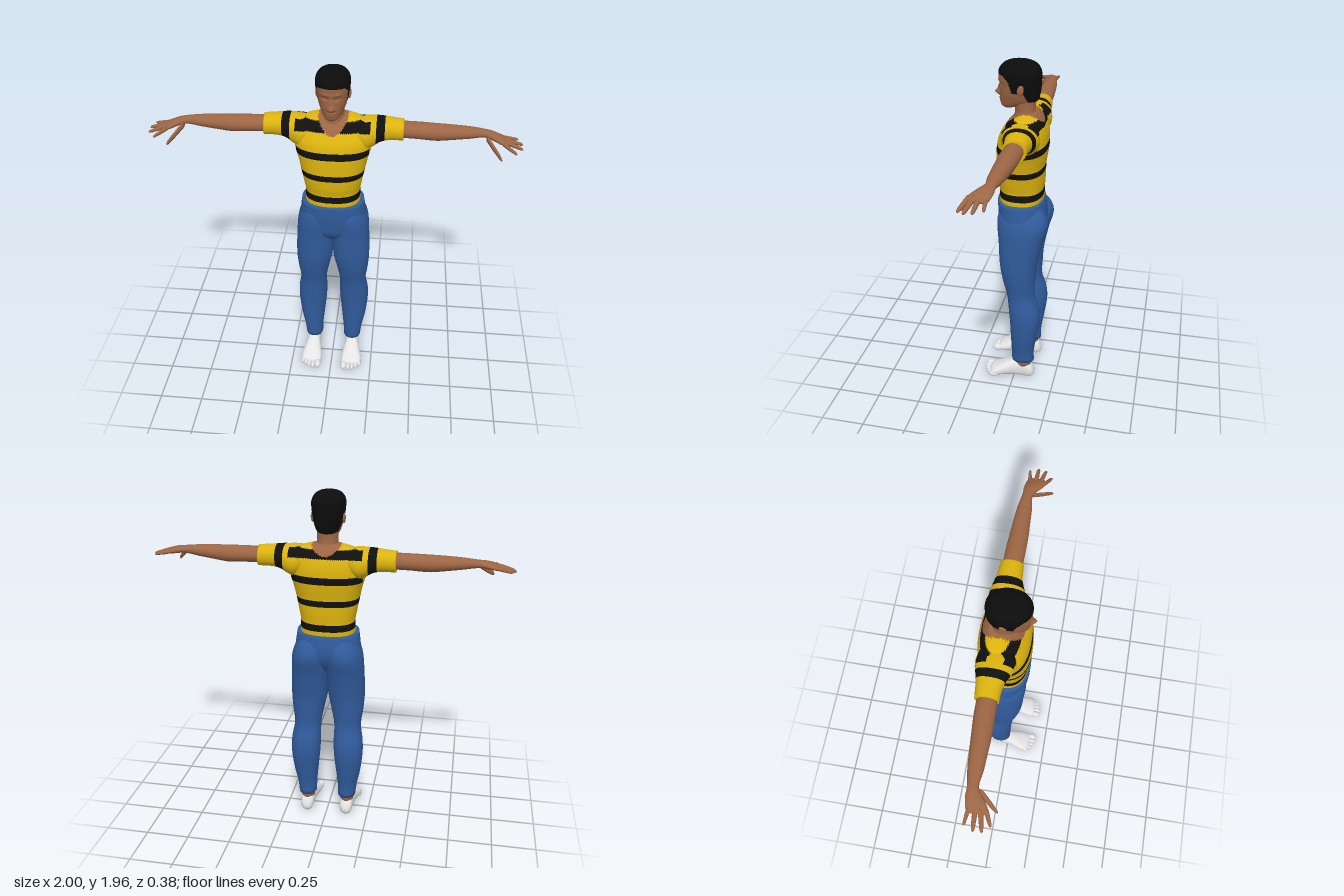
import * as THREE from 'three';

const mat = (name, color) => Object.assign(new THREE.MeshStandardMaterial({ color }), { name });

// Smooth interpolation of section rows [t, uMin, uMax, vMin, vMax]
function sectionAt(rows, t) {
  const n = rows.length;
  let i = 0;
  while (i < n - 2 && t > rows[i + 1][0]) i++;
  const a = rows[i], b = rows[i + 1], h = b[0] - a[0], s = (t - a[0]) / h;
  const slope = (k, c) => {
    const p = rows[Math.max(k - 1, 0)], q = rows[Math.min(k + 1, n - 1)];
    return (q[c] - p[c]) / (q[0] - p[0]);
  };
  return [1, 2, 3, 4].map((c) =>
    a[c] * (1 + 2 * s) * (1 - s) ** 2 + b[c] * s * s * (3 - 2 * s) +
    h * (slope(i, c) * s * (1 - s) ** 2 - slope(i + 1, c) * s * s * (1 - s)));
}

// Axis mappings from (t, u, v)
const alongY = (t, u, v) => [u, t, v];
const alongX = (t, u, v) => [t, v, u];
const alongZ = (t, u, v) => [v, u, t];

// Closed loft through rounded cross-sections; paint(x, y, z) picks a material index
function loft(rows, map, { n = 40, step = 0.02, power = 2, deform, paint } = {}) {
  const t0 = rows[0][0], t1 = rows[rows.length - 1][0];
  const count = Math.max(2, Math.round((t1 - t0) / step));
  const pos = [], faces = [];
  const push = (p) => pos.push(...(deform ? deform(...p) : p));
  const mid = [];
  for (let i = 0; i <= count; i++) {
    const t = t0 + ((t1 - t0) * i) / count;
    const [u0, u1, v0, v1] = sectionAt(rows, t);
    const cu = (u0 + u1) / 2, cv = (v0 + v1) / 2;
    if (i === 0 || i === count) mid.push(map(t, cu, cv));
    for (let j = 0; j < n; j++) {
      const a = (j / n) * Math.PI * 2, c = Math.cos(a), s = Math.sin(a);
      const f = (w) => Math.sign(w) * Math.abs(w) ** (2 / power);
      push(map(t, cu + f(c) * (u1 - u0) / 2, cv + f(s) * (v1 - v0) / 2));
    }
  }
  const low = pos.length / 3, high = low + 1;
  mid.forEach((p) => pos.push(...p));
  for (let j = 0; j < n; j++) {
    const k = (j + 1) % n, top = count * n;
    for (let i = 0; i < count; i++) {
      const a = i * n + j, b = i * n + k;
      faces.push([a, a + n, b], [b, a + n, b + n]);
    }
    faces.push([low, j, k], [high, top + k, top + j]);
  }
  const geo = new THREE.BufferGeometry();
  geo.setAttribute('position', new THREE.Float32BufferAttribute(pos, 3));
  const buckets = [];
  for (const f of faces) {
    const c = [0, 1, 2].map((d) => (pos[f[0] * 3 + d] + pos[f[1] * 3 + d] + pos[f[2] * 3 + d]) / 3);
    const m = paint ? paint(...c) : 0;
    (buckets[m] ??= []).push(...f);
  }
  let start = 0;
  buckets.forEach((b, m) => { geo.addGroup(start, b.length, m); start += b.length; });
  geo.setIndex(buckets.flat());
  geo.computeVertexNormals();
  return geo;
}

// Mirror across x with the winding kept outward
function mirrored(geo) {
  const g = geo.clone().scale(-1, 1, 1), ix = g.index;
  for (let i = 0; i < ix.count; i += 3) {
    const a = ix.getX(i);
    ix.setX(i, ix.getX(i + 1));
    ix.setX(i + 1, a);
  }
  g.computeVertexNormals();
  return g;
}

// Tapered finger from base to tip, both [x, y, z]
function finger(base, tip, r) {
  const rows = [[0, 1], [0.35, 1], [0.7, 0.85], [0.92, 0.65], [1, 0.15]].map(([k, s]) => {
    const [x, y, z] = base.map((b, d) => b + (tip[d] - b) * k);
    return [x, z - r * s, z + r * s, y - r * s, y + r * s];
  });
  return loft(rows, alongX, { n: 14, step: 0.006 });
}

const bump = (x, y, cx, cy, wx, wy) => Math.exp(-(((x - cx) / wx) ** 2) - ((y - cy) / wy) ** 2);

// Height of the hairline at depth z
function hairline(z) {
  const pts = [[-0.13, 1.742], [-0.06, 1.755], [-0.04, 1.8], [0.022, 1.8], [0.04, 1.86], [0.07, 1.89], [0.2, 1.9]];
  for (let i = 1; i < pts.length; i++) {
    const [z0, y0] = pts[i - 1], [z1, y1] = pts[i];
    if (z <= z1) return y0 + (y1 - y0) * (z - z0) / (z1 - z0);
  }
  return 1.9;
}

export function createModel() {
  const root = new THREE.Group();
  const skin = mat('skin', 0x9c6644), hair = mat('black hair', 0x0c0c0c), black = mat('black stripe', 0x101010);
  const yellow = mat('yellow cloth', 0xdcb40e), blue = mat('blue denim', 0x305b9c), white = mat('white sock', 0xe4e4e4);

  const add = (name, geo, material) => {
    const m = new THREE.Mesh(geo, material);
    m.name = name;
    root.add(m);
  };
  const pair = (name, geo, material) => {
    add('left ' + name, geo, material);
    add('right ' + name, mirrored(geo), material);
  };

  // Shirt body with stripes and a scooped neckline
  const shirtMats = [yellow, black, skin];
  const shoulderStripe = (x, y) => Math.abs(x) < 0.2 && y > 1.622 && y < 1.667;
  const shirtPaint = (x, y, z) => {
    const ax = Math.abs(x);
    if (y > (z > -0.05 ? 1.61 + 11 * x * x : 1.635 + 8 * x * x)) return ax < 0.08 ? 2 : shoulderStripe(x, y) ? 1 : 0;
    if ((y > 1.21 && y < 1.25) || (y > 1.355 && y < 1.39)) return 1;
    if (y > 1.485 && y < 1.525 && ax < 0.197) return 1;
    return shoulderStripe(x, y) ? 1 : 0;
  };
  const torso = [
    [1.17, 0.155, -0.143, 0.1], [1.25, 0.152, -0.145, 0.1], [1.3, 0.16, -0.148, 0.109], [1.38, 0.175, -0.15, 0.114],
    [1.45, 0.19, -0.16, 0.113], [1.5, 0.204, -0.165, 0.11], [1.56, 0.21, -0.163, 0.098], [1.6, 0.206, -0.155, 0.076],
    [1.64, 0.19, -0.14, 0.045], [1.67, 0.15, -0.12, 0.01], [1.69, 0.08, -0.1, -0.015],
  ].map(([y, x, b, f]) => [y, -x, x, b, f]);
  add('shirt body', loft(torso, alongY, { n: 120, step: 0.005, power: 2.4, paint: shirtPaint }), shirtMats);

  // Sleeves with a band
  pair('sleeve', loft([
    [0.1, -0.13, 0.03, 1.56, 1.66], [0.17, -0.15, 0.06, 1.505, 1.672], [0.21, -0.146, 0.045, 1.515, 1.673],
    [0.25, -0.135, 0.025, 1.54, 1.673], [0.3, -0.125, 0.01, 1.55, 1.669], [0.375, -0.118, 0.004, 1.55, 1.662],
  ], alongX, {
    n: 64, step: 0.005, power: 2.2,
    paint: (x, y) => ((x > 0.23 && x < 0.275) || shoulderStripe(x, y) ? 1 : 0),
  }), shirtMats);

  // Arms and hands
  pair('arm', loft([
    [0.34, -0.106, -0.004, 1.565, 1.653], [0.45, -0.106, 0, 1.563, 1.652], [0.55, -0.1, 0, 1.558, 1.65],
    [0.62, -0.095, -0.003, 1.566, 1.648], [0.72, -0.086, -0.008, 1.58, 1.643], [0.8, -0.072, -0.016, 1.592, 1.635],
    [0.84, -0.073, 0.01, 1.588, 1.628], [0.88, -0.068, 0.038, 1.58, 1.615], [0.91, -0.06, 0.042, 1.577, 1.603],
    [0.92, -0.045, 0.03, 1.582, 1.596],
  ], alongX), skin);
  [
    ['index finger', [0.89, 1.595, 0.032], [0.965, 1.555, 0.066], 0.012],
    ['middle finger', [0.895, 1.597, 0.008], [0.998, 1.565, 0.03], 0.012],
    ['ring finger', [0.895, 1.596, -0.016], [1, 1.572, -0.012], 0.012],
    ['little finger', [0.885, 1.595, -0.046], [0.98, 1.578, -0.058], 0.01],
    ['thumb', [0.81, 1.6, -0.012], [0.89, 1.525, 0.084], 0.018],
  ].forEach(([name, base, tip, r]) => pair(name, finger(base, tip, r), skin));

  // Neck
  add('neck', loft([
    [1.58, -0.07, 0.07, -0.12, 0.03], [1.64, -0.066, 0.066, -0.112, 0.03],
    [1.69, -0.058, 0.058, -0.094, 0.018], [1.77, -0.058, 0.058, -0.092, 0.03],
  ], alongY), skin);

  // Head with sculpted face and painted hair
  const skull = [
    [1.705, 0.022, 0.03, 0.08], [1.72, 0.042, -0.02, 0.094], [1.745, 0.06, -0.097, 0.097], [1.78, 0.073, -0.115, 0.099],
    [1.82, 0.081, -0.121, 0.1], [1.87, 0.088, -0.123, 0.105], [1.91, 0.088, -0.12, 0.104], [1.94, 0.073, -0.1, 0.083],
    [1.957, 0.047, -0.065, 0.048], [1.965, 0.008, -0.02, 0],
  ].map(([y, x, b, f]) => [y, -x, x, b, f]);
  const face = (x, y, z) => {
    if (z > 0.02) {
      const ax = Math.abs(x);
      z += 0.026 * bump(x, y, 0, 1.785, 0.014, 0.014) + 0.012 * bump(x, y, 0, 1.81, 0.01, 0.022);
      z += 0.008 * bump(ax, y, 0.014, 1.78, 0.008, 0.008);
      z += 0.007 * bump(x, y, 0, 1.755, 0.022, 0.006) + 0.006 * bump(x, y, 0, 1.742, 0.02, 0.006);
      z += 0.005 * bump(ax, y, 0.032, 1.858, 0.025, 0.009) - 0.01 * bump(ax, y, 0.033, 1.836, 0.018, 0.01);
    }
    if (y > hairline(z)) x *= 1.025;
    return [x, y, z];
  };
  add('head', loft(skull, alongY, {
    n: 96, step: 0.004, power: 2.15, deform: face, paint: (x, y, z) => (y > hairline(z) ? 1 : 0),
  }), [skin, hair]);
  pair('ear', new THREE.SphereGeometry(1, 16, 12).scale(0.01, 0.03, 0.018).rotateX(-0.2).translate(0.084, 1.822, -0.026), skin);
  pair('eyelid', new THREE.SphereGeometry(1, 16, 10).scale(0.014, 0.007, 0.008).translate(0.032, 1.835, 0.079), skin);

  // Trousers: hips and legs
  add('trouser hips', loft([
    [0.93, -0.05, 0.05, -0.07, 0.045], [0.98, -0.15, 0.15, -0.12, 0.086], [1.04, -0.188, 0.188, -0.155, 0.1],
    [1.1, -0.185, 0.185, -0.163, 0.108], [1.185, -0.174, 0.174, -0.148, 0.11],
  ], alongY, { n: 64, power: 2.3 }), blue);
  pair('trouser leg', loft([
    [0.13, 0.068, 0.172, -0.12, 0.013], [0.2, 0.065, 0.18, -0.12, 0.015], [0.3, 0.055, 0.2, -0.136, 0.018],
    [0.42, 0.043, 0.213, -0.152, 0.023], [0.5, 0.04, 0.211, -0.147, 0.03], [0.6, 0.04, 0.197, -0.12, 0.042],
    [0.7, 0.022, 0.208, -0.122, 0.066], [0.8, 0.002, 0.214, -0.13, 0.084], [0.95, -0.006, 0.209, -0.16, 0.092],
    [1.05, -0.008, 0.2, -0.186, 0.1], [1.11, 0, 0.18, -0.172, 0.095], [1.16, 0.03, 0.15, -0.13, 0.07],
  ], alongY, { n: 48, power: 2.15 }), blue);

  // Ankles, feet and toes
  pair('ankle', loft([[0.09, 0.082, 0.158, -0.1, 0.002], [0.17, 0.085, 0.155, -0.095, 0]], alongY), skin);
  pair('foot', loft([
    [-0.122, 0.025, 0.055, 0.105, 0.137], [-0.105, 0.008, 0.09, 0.086, 0.154], [-0.06, 0.006, 0.122, 0.08, 0.16],
    [0, 0.008, 0.122, 0.078, 0.166], [0.05, 0.008, 0.1, 0.07, 0.177], [0.1, 0.006, 0.074, 0.063, 0.188],
    [0.135, 0.007, 0.056, 0.066, 0.18], [0.15, 0.015, 0.045, 0.075, 0.15],
  ], alongZ, { step: 0.008, power: 2.3 }), white);
  [[0.082, 0.158, 0.02], [0.111, 0.16, 0.014], [0.135, 0.152, 0.013], [0.157, 0.138, 0.013], [0.178, 0.12, 0.013]]
    .forEach(([x, z, r], i) => pair('toe ' + (i + 1),
      new THREE.SphereGeometry(1, 16, 12).scale(r, r * 0.7 + 0.01, 0.03).translate(x, r * 0.7 + 0.014, z), white));

  return root;
}
